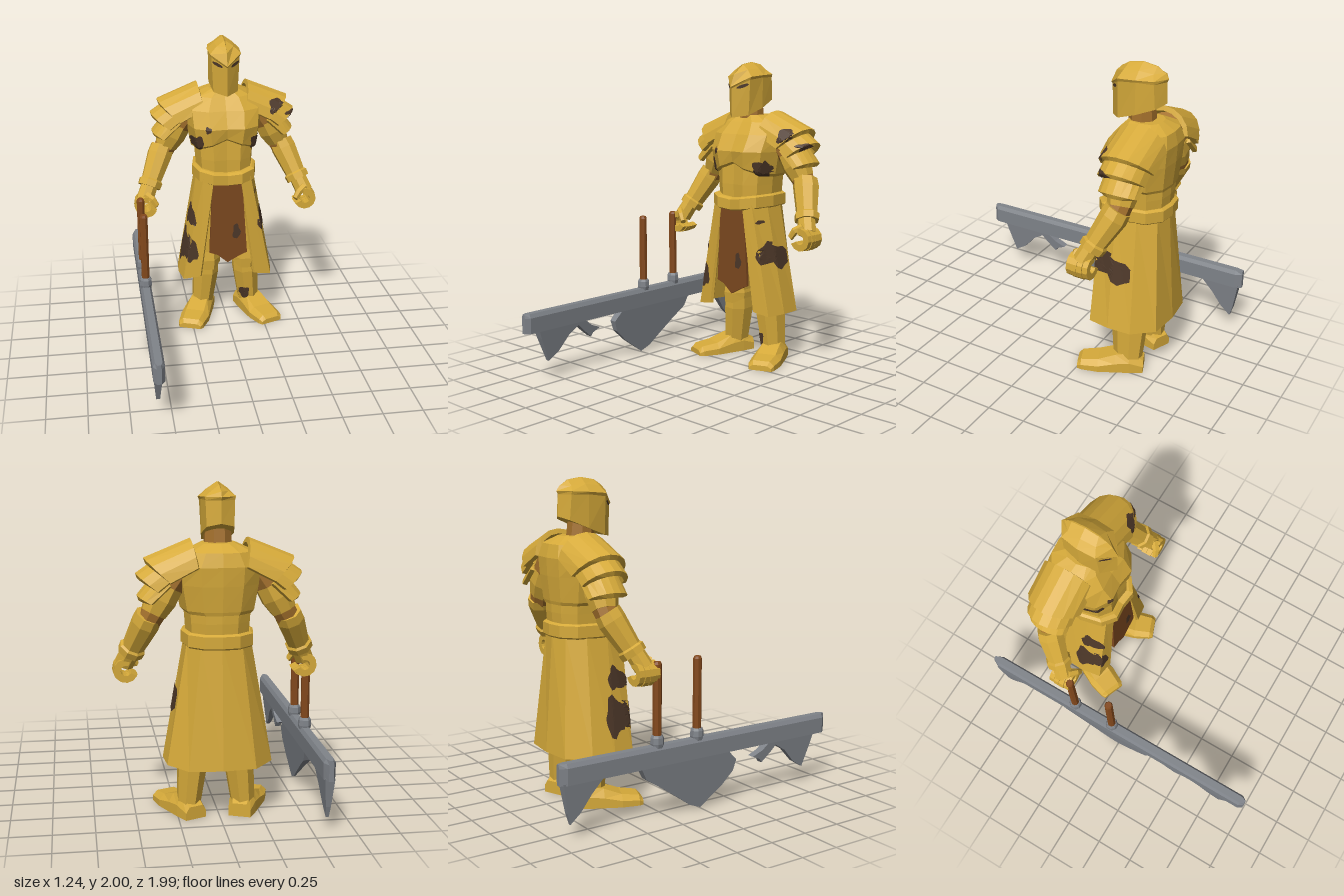
import * as THREE from 'three';

const mat = (name, color) => Object.assign(new THREE.MeshStandardMaterial({ color }), { name });
const gold = mat('gold armour', 0xd6aa3a);
const leather = mat('leather', 0xa3702c);
const cloth = mat('brown cloth', 0x7c481f);
const wood = mat('brown wood', 0x84491c);
const steel = mat('grey steel', 0x80848a);
const stain = mat('dark stain', 0x4c3728);

// Closed, flat-shaded solid through rings of equal length, turned outwards by its volume
function loft(rings, s = 1) {
  const R = rings.map(r => r.map(p => new THREE.Vector3(p[0] * s, p[1], p[2])));
  const n = R[0].length, tris = [];
  for (let i = 0; i < R.length - 1; i++)
    for (let j = 0; j < n; j++) {
      const k = (j + 1) % n, [a, b, c, d] = [R[i][j], R[i][k], R[i + 1][k], R[i + 1][j]];
      tris.push([a, b, c], [a, c, d]);
    }
  [R[0], R[R.length - 1]].forEach((r, e) => {
    const m = r.reduce((q, p) => q.add(p), new THREE.Vector3()).divideScalar(n);
    for (let j = 0; j < n; j++) {
      const k = (j + 1) % n;
      tris.push(e ? [m, r[j], r[k]] : [m, r[k], r[j]]);
    }
  });
  const volume = tris.reduce((v, [a, b, c]) => v + a.dot(b.clone().cross(c)), 0);
  const pts = tris.flatMap(t => (volume < 0 ? [t[0], t[2], t[1]] : t));
  const g = new THREE.BufferGeometry().setFromPoints(pts);
  g.computeVertexNormals();
  return g;
}

// Full ring from a half outline running front centre to back centre
const mirrorRing = half => [...half, ...half.slice(1, -1).reverse().map(([x, y, z]) => [-x, y, z])];

// Body section: half width, front and back depth, lift of the front centre
const PROFILE = [[0, 0.03], [0.45, 0], [0.85, 0.14], [1, 0.45], [0.88, 0.8], [0.48, 0.97], [0, 1]];
const oval = (y, hw, zf, zb, lift = 0) => mirrorRing(PROFILE.map(([a, t]) =>
  [hw * a, y + (t < 0.3 ? lift * (1 - a) : 0), zf + (zb - zf) * t]));

// Limb from stations [x, y, z, radius], optionally deeper in z
function limb(st, s = 1, deep = 1, n = 8) {
  const P = st.map(p => new THREE.Vector3(p[0], p[1], p[2]));
  const dir = P[P.length - 1].clone().sub(P[0]).normalize();
  const q = new THREE.Quaternion().setFromUnitVectors(new THREE.Vector3(0, -1, 0), dir);
  return loft(P.map((c, i) => Array.from({ length: n }, (_, k) => {
    const a = (k + 0.5) / n * Math.PI * 2, r = st[i][3];
    return new THREE.Vector3(Math.cos(a) * r, 0, Math.sin(a) * r * deep).applyQuaternion(q).add(c).toArray();
  })), s);
}

// Shoulder plate arched front to back; crest and end points are [x, y]
function arch(inC, inE, outC, outE, hz, s) {
  const rings = [];
  for (let k = -4; k <= 4; k++) {
    const a = k / 4 * 1.5, w = Math.cos(a), z = -0.545 + hz * Math.sin(a);
    const at = (E, C, d) => [E[0] + (C[0] - E[0]) * w - d * 0.4, E[1] + (C[1] - E[1]) * w - d * (0.2 + w),
      z - d * Math.sin(a)];
    rings.push([at(inE, inC, 0), at(outE, outC, 0), at(outE, outC, 0.025), at(inE, inC, 0.025)]);
  }
  return loft(rings, s);
}

// Irregular thin patch projected on a mesh; axis 'z' from the front, 'x' from a side
function patch(target, axis, u, v, ru, rv, side = 1, tilt = 0, rough = 0.22) {
  const ray = new THREE.Raycaster(), dir = new THREE.Vector3(axis === 'x' ? -side : 0, 0, axis === 'z' ? -1 : 0);
  const N = 18, M = 5, grid = [];
  for (let i = 0; i <= M; i++)
    for (let j = 0; j < N; j++) {
      const a = j / N * Math.PI * 2;
      const r = i / M * (1 + rough * (Math.sin(a * 3 + u * 40) * 0.6 + Math.sin(a * 5 + v * 30) * 0.5));
      const du = Math.cos(a) * r * ru, p = u + du, y = v + Math.sin(a) * r * rv + du * tilt;
      ray.set(axis === 'x' ? new THREE.Vector3(side * 3, y, p) : new THREE.Vector3(p, y, 3), dir);
      const hit = ray.intersectObject(target, false)[0];
      grid.push(hit ? hit.point.addScaledVector(hit.face.normal, 0.003).addScaledVector(dir, -0.003) : null);
    }
  const pts = [];
  const tri = (...t) => { if (t.every(p => p)) pts.push(...t); };
  for (let i = 0; i < M; i++)
    for (let j = 0; j < N; j++) {
      const k = (j + 1) % N, [a, b, c, d] = [grid[i * N + j], grid[(i + 1) * N + j], grid[(i + 1) * N + k], grid[i * N + k]];
      const flip = axis === 'x' && side > 0;
      if (flip) { tri(a, c, b); tri(a, d, c); } else { tri(a, b, c); tri(a, c, d); }
    }
  const g = new THREE.BufferGeometry().setFromPoints(pts);
  g.computeVertexNormals();
  return g;
}

export function createModel() {
  const model = new THREE.Group();
  const add = (name, geo, m) => {
    const mesh = new THREE.Mesh(geo, m);
    mesh.name = name;
    model.add(mesh);
    return mesh;
  };

  // Helmet: pointed visor, brow step, ridged crown
  const helmet = add('helmet', loft([
    [[0, 1.64, -0.285], [0.08, 1.655, -0.36], [0.098, 1.7, -0.48], [0.08, 1.75, -0.6], [0, 1.77, -0.64]],
    [[0, 1.83, -0.28], [0.092, 1.885, -0.36], [0.1, 1.9, -0.48], [0.085, 1.9, -0.59], [0, 1.9, -0.635]],
    [[0, 1.84, -0.27], [0.101, 1.905, -0.36], [0.107, 1.915, -0.48], [0.09, 1.92, -0.59], [0, 1.92, -0.645]],
    [[0, 1.92, -0.305], [0.055, 1.95, -0.38], [0.06, 1.96, -0.48], [0.05, 1.95, -0.57], [0, 1.95, -0.625]],
    [[0, 1.955, -0.34], [0.004, 1.985, -0.39], [0.004, 2, -0.48], [0.004, 1.985, -0.57], [0, 1.955, -0.615]],
  ].map(mirrorRing)), gold);
  add('neck', limb([[0, 1.74, -0.48, 0.08], [0, 1.58, -0.49, 0.09]]), leather);

  // Torso, belt and skirt
  add('abdomen', loft([oval(1.06, 0.185, -0.3, -0.68), oval(1.2, 0.195, -0.295, -0.69), oval(1.38, 0.21, -0.3, -0.69)]), gold);
  const chest = add('breastplate', loft([oval(1.25, 0.2, -0.31, -0.695, 0.08), oval(1.27, 0.222, -0.28, -0.7, 0.08),
    oval(1.42, 0.25, -0.265, -0.715), oval(1.53, 0.26, -0.32, -0.72), oval(1.61, 0.2, -0.38, -0.7),
    oval(1.655, 0.1, -0.42, -0.62)]), gold);
  add('belt', loft([oval(1.05, 0.205, -0.275, -0.7, -0.025), oval(1.06, 0.217, -0.255, -0.71, -0.025),
    oval(1.13, 0.217, -0.255, -0.71, -0.03), oval(1.14, 0.2, -0.28, -0.69, -0.03)]), gold);
  const hem = [ // top x, top z, bottom x, bottom z, bottom y
    [0.09, -0.285, 0.19, -0.29, 0.365], [0.16, -0.3, 0.305, -0.31, 0.345], [0.195, -0.42, 0.328, -0.45, 0.345],
    [0.19, -0.56, 0.315, -0.6, 0.34], [0.12, -0.665, 0.2, -0.725, 0.335], [0, -0.69, 0, -0.745, 0.335]];
  const hemRing = ([tx, tz, bx, bz, by], s) => {
    const inner = z => -0.5 + (z + 0.5) * 0.93;
    return [[tx * s, 1.08, tz], [bx * s, by, bz], [bx * s * 0.94, by, inner(bz)], [tx * s * 0.94, 1.08, inner(tz)]];
  };
  const skirt = add('skirt', loft([...hem.map(h => hemRing(h, 1)), ...hem.slice(0, -1).reverse().map(h => hemRing(h, -1))]), gold);

  // Hanging front cloth
  const clothShape = new THREE.Shape([[-0.1, 1.06], [-0.125, 0.54], [-0.07, 0.52], [0, 0.46], [0.07, 0.5], [0.135, 0.53], [0.1, 1.06]]
    .map(p => new THREE.Vector2(...p)));
  const tabard = add('frontCloth', new THREE.ExtrudeGeometry(clothShape, { depth: 0.02, bevelEnabled: false }).translate(0, 0, -0.31), cloth);

  // Legs, feet, arms and shoulder plates on both sides
  const plates = {}, legs = {};
  for (const s of [1, -1]) {
    const side = s > 0 ? 'left' : 'right', o = 0.015 * s;
    add(side + 'Thigh', limb([[0.1 + o, 0.95, -0.5, 0.09], [0.13 + o, 0.45, -0.5, 0.09]], s, 1.2), gold);
    legs[s] = add(side + 'Greave', limb([[0.13 + o, 0.46, -0.515, 0.084], [0.142 + o, 0.32, -0.52, 0.092],
      [0.165 + o, 0.08, -0.525, 0.074]], s, 1.3), gold);
    add(side + 'Knee', loft([[0.5, 0.082, 0.03], [0.43, 0.094, 0], [0.39, 0.09, -0.03]].map(([y, r, dip]) =>
      Array.from({ length: 8 }, (_, k) => {
        const a = (k + 0.5) / 8 * Math.PI * 2;
        return [0.13 + o + Math.cos(a) * r, y + (Math.sin(a) > 0.8 ? dip : 0), -0.505 + Math.sin(a) * r * 1.32];
      })), s), gold);

    const foot = [[-0.09, 0.068, 0.08], [0, 0.082, 0.13], [0.09, 0.09, 0.115], [0.2, 0.1, 0.075], [0.31, 0.088, 0.06], [0.335, 0.075, 0.035]];
    add(side + 'Foot', loft(foot.map(([l, w, h]) =>
      [[-w, 0], [w, 0], [w, h * 0.55], [w * 0.65, h], [-w * 0.65, h], [-w, h * 0.55]].map(([x, y]) => [
        0.165 + o + x * Math.cos(0.38) + l * Math.sin(0.38), y, -0.54 + l * Math.cos(0.38) - x * Math.sin(0.38)])), s), gold);

    add(side + 'Shoulder', limb([[0.2, 1.56, -0.53, 0.1], [0.315, 1.39, -0.54, 0.098]], s), leather);
    add(side + 'UpperArm', limb([[0.305, 1.41, -0.54, 0.1], [0.345, 1.33, -0.545, 0.1], [0.385, 1.25, -0.55, 0.078]], s), gold);
    add(side + 'Elbow', limb([[0.375, 1.27, -0.55, 0.076], [0.425, 1.18, -0.535, 0.07]], s), leather);
    add(side + 'Gauntlet', limb([[0.408, 1.24, -0.548, 0.082], [0.43, 1.19, -0.53, 0.086], [0.495, 1.04, -0.455, 0.07],
      [0.5, 1.03, -0.45, 0.083], [0.515, 0.995, -0.432, 0.08]], s), gold);
    add(side + 'Wrist', limb([[0.51, 1.01, -0.43, 0.058], [0.55, 0.92, -0.39, 0.06]], s), gold);

    // Four curled fingers and a thumb
    const arc = (r, from, to) => Array.from({ length: 10 }, (_, k) => {
      const a = from + (to - from) * k / 9;
      return [Math.cos(a) * r, Math.sin(a) * r];
    });
    const curl = [...arc(0.078, 2, -2.7), ...arc(0.034, -2.7, 2)];
    for (let f = 0; f < 4; f++) {
      const z = -0.46 + f * 0.036, k = f === 0 || f === 3 ? 0.94 : 1;
      const pts = curl.map(([x, y]) => new THREE.Vector2(s * (0.543 + x * k), 0.888 + y * k));
      add(side + 'Finger', new THREE.ExtrudeGeometry(new THREE.Shape(pts), { depth: 0.034, bevelEnabled: false }).translate(0, 0, z), gold);
    }
    add(side + 'Thumb', limb([[0.545, 0.965, -0.36, 0.028], [0.5, 0.94, -0.325, 0.025], [0.472, 0.895, -0.315, 0.02]], s, 1, 6), gold);

    plates[s] = [
      [[0.17, 1.685], [0.14, 1.52], [0.44, 1.575], [0.29, 1.44], 0.175],
      [[0.36, 1.575], [0.26, 1.47], [0.487, 1.487], [0.36, 1.39], 0.15],
      [[0.36, 1.51], [0.29, 1.42], [0.48, 1.36], [0.4, 1.32], 0.13],
    ].map(p => add(side + 'ShoulderPlate', arch(...p, s), gold));
  }

  // Great blade: hexagonal spine with a broken, tapering edge
  const spine = (z, k) => [[-0.022, 0.455], [0.022, 0.455], [0.036, 0.43], [0.034, 0.33], [-0.034, 0.33], [-0.036, 0.43]]
    .map(([x, y]) => [-0.583 + x * k, y, z]);
  add('bladeSpine', loft([spine(1, 0.4), spine(0.97, 1), spine(-0.94, 1), spine(-0.985, 0.4)]), steel);
  const edges = [
    [[0.9, 0.34], [0.88, 0.28], [0.82, 0.12], [0.74, 0.17], [0.66, 0.26], [0.58, 0.31], [0.54, 0.27], [0.47, 0.21],
      [0.455, 0.235], [0.395, 0.26], [0.47, 0.29], [0.53, 0.34]],
    [[0.19, 0.34], [0.26, 0.27], [0.24, 0.2], [0.16, 0.12], [0, 0.005], [-0.08, 0.035], [-0.17, 0.1], [-0.3, 0.19],
      [-0.41, 0.26], [-0.45, 0.34]],
    [[-0.7, 0.34], [-0.78, 0.25], [-0.85, 0.15], [-0.915, 0.09], [-0.935, 0.16], [-0.965, 0.34]],
  ];
  for (const e of edges) {
    const g = new THREE.ExtrudeGeometry(new THREE.Shape(e.map(p => new THREE.Vector2(...p))), { depth: 0.06, bevelEnabled: false });
    g.translate(0, 0, -0.03).rotateY(-Math.PI / 2);
    const p = g.attributes.position;
    for (let i = 0; i < p.count; i++) p.setX(i, p.getX(i) * (0.06 + p.getY(i) * 2.75));
    g.translate(-0.583, 0, 0).computeVertexNormals();
    add('bladeEdge', g, steel);
  }
  for (const z of [-0.03, -0.32]) {
    add('bladeHandle', limb([[-0.583, 0.955, z, 0.02], [-0.583, 0.94, z, 0.027], [-0.583, 0.45, z, 0.027]]), wood);
    add('handleCollar', limb([[-0.583, 0.515, z, 0.033], [-0.583, 0.5, z, 0.04], [-0.583, 0.465, z, 0.042], [-0.583, 0.44, z, 0.036]]), steel);
  }

  // Eye slits and worn stains
  model.updateMatrixWorld(true);
  for (const s of [1, -1]) add('eyeSlit', patch(helmet, 'z', 0.056 * s, 1.845, 0.03, 0.011, 1, 0.4 * s, 0), stain);
  const marks = [
    [chest, 'z', -0.19, 1.32, 0.04, 0.05], [chest, 'z', -0.125, 1.42, 0.018, 0.022], [chest, 'z', 0.19, 1.31, 0.035, 0.05],
    [chest, 'x', -0.375, 1.31, 0.04, 0.05], [plates[1][0], 'z', 0.35, 1.525, 0.055, 0.05],
    [plates[1][1], 'x', -0.48, 1.45, 0.05, 0.035], [skirt, 'z', -0.25, 0.56, 0.045, 0.09],
    [skirt, 'z', -0.235, 0.79, 0.022, 0.06], [skirt, 'x', -0.42, 0.57, 0.07, 0.12, -1], [skirt, 'x', -0.4, 0.8, 0.05, 0.07, -1],
    [skirt, 'z', 0.245, 0.76, 0.035, 0.08], [skirt, 'x', -0.46, 0.73, 0.11, 0.075, 1, 0.3],
    [skirt, 'z', 0.195, 0.96, 0.01, 0.012], [tabard, 'z', 0.06, 0.69, 0.026, 0.055], [legs[1], 'z', 0.14, 0.15, 0.035, 0.045],
  ];
  for (const m of marks) add('stain', patch(...m), stain);

  return model;
}
